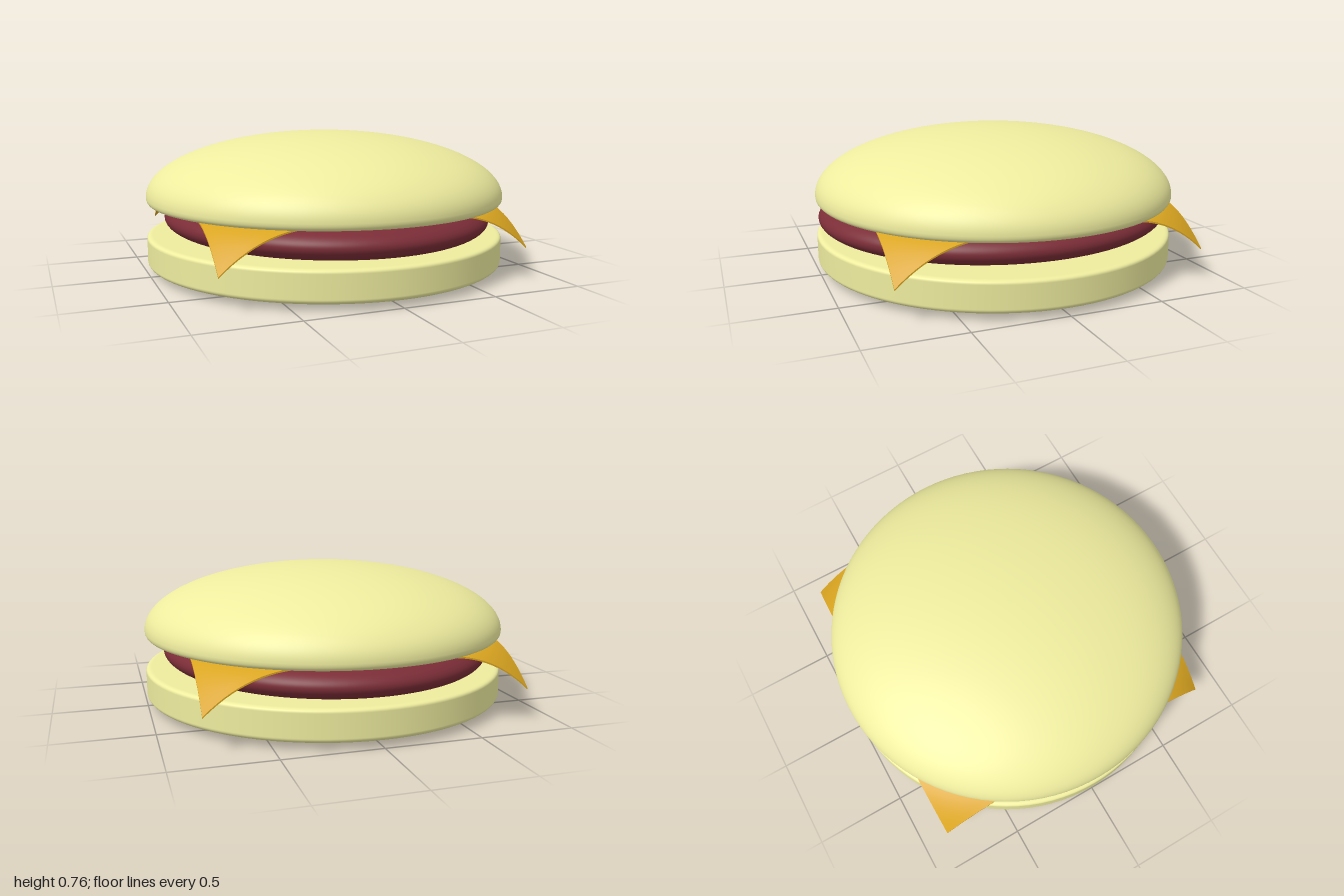
import * as THREE from 'three';

const material = (color) => new THREE.MeshStandardMaterial({ color });

// Round part turned from a profile that runs from the bottom centre to the top centre
function turned(name, profile, mat) {
  const mesh = new THREE.Mesh(new THREE.LatheGeometry(profile.getPoints(24), 96), mat);
  mesh.name = name;
  return mesh;
}

export function createModel() {
  const group = new THREE.Group();
  group.name = 'burger';
  const bread = material(0xeeec9e);

  // Bottom bun: slightly bowed base, straight wall, small rounded rim
  const bottom = new THREE.Path()
    .moveTo(0, 0)
    .quadraticCurveTo(0.6, 0.003, 0.95, 0.028)
    .quadraticCurveTo(1, 0.033, 1, 0.06)
    .lineTo(1, 0.18)
    .quadraticCurveTo(1, 0.2, 0.97, 0.2)
    .lineTo(0, 0.2);
  group.add(turned('bottomBun', bottom, bread));

  // Patty: flat disc with a bulging rim, a little longer from front to back
  const patty = new THREE.Path()
    .moveTo(0, 0.204)
    .lineTo(0.74, 0.204)
    .absellipse(0.74, 0.284 + 0.002, 0.16, 0.082, -Math.PI / 2, Math.PI / 2, false)
    .lineTo(0, 0.368);
  const pattyMesh = turned('patty', patty, material(0x7b2d37));
  pattyMesh.scale.z = 1.1;
  pattyMesh.position.y = 0.003;
  group.add(pattyMesh);

  // Cheese slice: thin square whose corners droop past the patty
  const slice = new THREE.BoxGeometry(1.65, 0.008, 1.65, 48, 1, 48);
  const pos = slice.attributes.position;
  for (let i = 0; i < pos.count; i++) {
    const over = Math.max(0, Math.hypot(pos.getX(i), pos.getZ(i)) - 0.9);
    pos.setY(i, pos.getY(i) - 2.1 * Math.pow(over, 1.8));
  }
  slice.computeVertexNormals();
  const cheese = new THREE.Mesh(slice, material(0xdaa520));
  cheese.name = 'cheeseSlice';
  cheese.position.set(-0.005, 0.372, -0.025);
  group.add(cheese);

  // Top bun: flat underside with a rounded lip under an elliptical dome
  const top = new THREE.Path()
    .moveTo(0, 0.372)
    .lineTo(0.96, 0.372)
    .quadraticCurveTo(1, 0.372, 1, 0.41)
    .absellipse(0, 0.41, 1, 0.348, 0, Math.PI / 2, false);
  group.add(turned('topBun', top, bread));

  return group;
}
